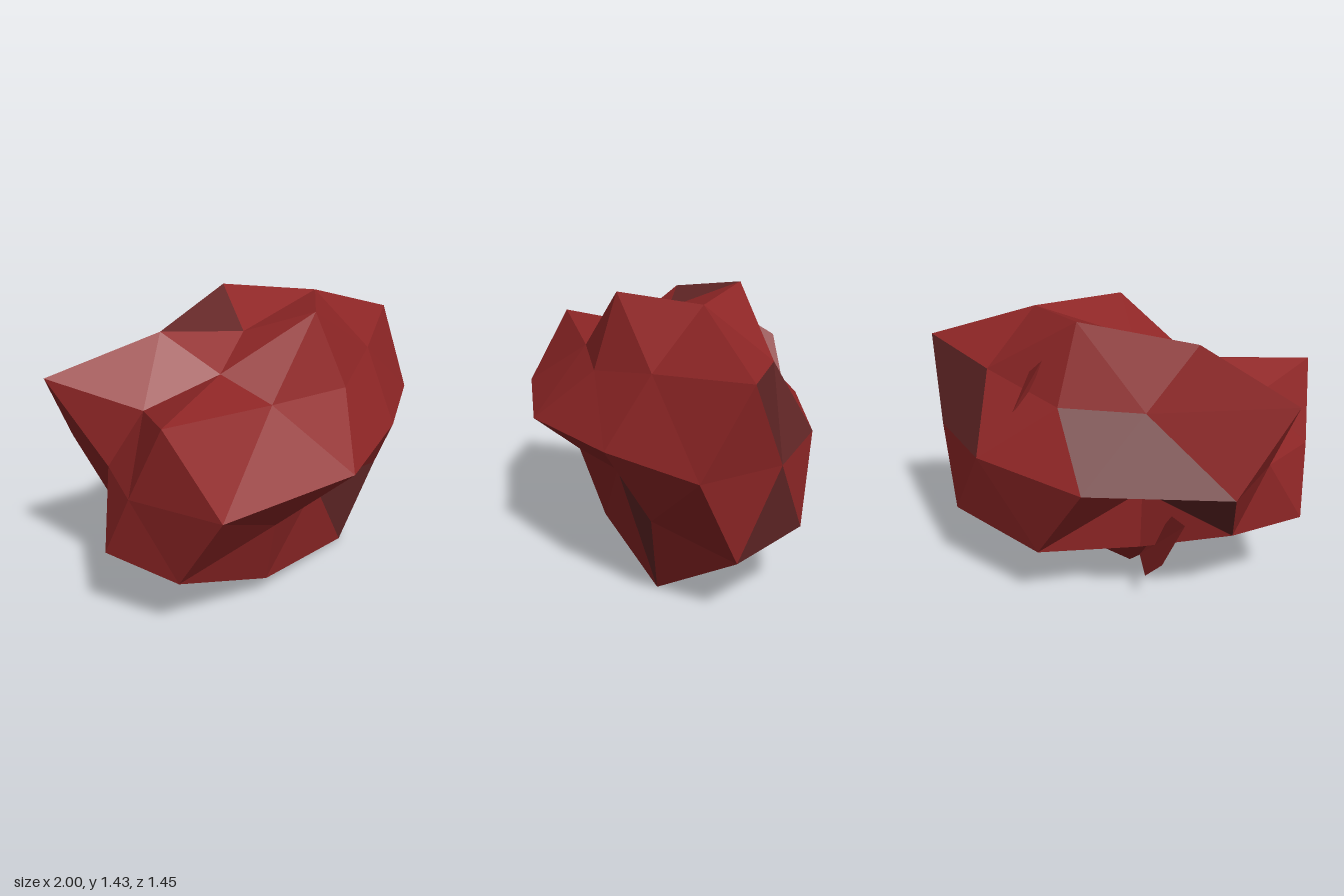
import * as THREE from 'three';
import { ConvexGeometry } from 'three/addons/geometries/ConvexGeometry.js';

const CENTRE = new THREE.Vector3(-0.12, 0.78, 0.01);
const SCALE = new THREE.Vector3(1, 0.75, 0.62);

// Rings of a once-divided icosahedron: height, first angle, distance of each point
const RINGS = [
  [1, 0, [0.69]],
  [0.8507, 0, [0.98, 1.01, 0.625, 0.88, 1.035]],
  [0.4472, 0, [1.25, 0.855, 1.125, 1.205, 0.82]],
  [0.5257, 36, [0.9, 0.78, 0.733, 0.65, 0.945]],
  [0, 18, [1.125, 0.99, 1.155, 1.22, 0.905, 0.77, 1.11, 1.19, 1.05, 1.03]],
  [-0.5257, 0, [1.14, 0.665, 1.063, 0.87, 1.125]],
  [-0.4472, 36, [0.955, 0.835, 0.99, 0.52, 1.15]],
  [-0.8507, 36, [1.207, 1.04, 0.75, 0.8, 0.84]],
  [-1, 0, [1.015]],
];

// Facets in the browner stone, as sorted point numbers
const BROWN = new Set([
  '27,31,36', '25,26,35', '15,24,25', '6,15,25', '0,4,5', '10,14,23',
  '14,22,23', '30,35,40', '26,35,40', '26,36,40', '22,29,34',
]);

function geometryFrom(points) {
  const g = new THREE.BufferGeometry().setFromPoints(points);
  g.computeVertexNormals();
  return g;
}

// Flat shard from a convex outline
function shard(name, corners, material) {
  const p = corners.map((c) => new THREE.Vector3(...c));
  const tris = [];
  for (let i = 1; i < p.length - 1; i++) tris.push(p[0], p[i], p[i + 1]);
  const mesh = new THREE.Mesh(geometryFrom(tris), material);
  mesh.name = name;
  return mesh;
}

export function createModel() {
  const group = new THREE.Group();
  group.name = 'rock';
  const red = new THREE.MeshStandardMaterial({ color: 0x8f2626, flatShading: true, side: THREE.DoubleSide });
  red.name = 'redStone';
  const brown = new THREE.MeshStandardMaterial({ color: 0x642727, flatShading: true, side: THREE.DoubleSide });
  brown.name = 'brownStone';

  // Directions and displaced points
  const dirs = [];
  const points = [];
  for (const [y, start, radii] of RINGS) {
    const h = Math.sqrt(1 - y * y);
    radii.forEach((r, i) => {
      const a = THREE.MathUtils.degToRad(start + (i * 360) / radii.length);
      const d = new THREE.Vector3(h * Math.cos(a), y, h * Math.sin(a));
      dirs.push(d);
      points.push(d.clone().multiplyScalar(r).multiply(SCALE).add(CENTRE));
    });
  }

  // Facets of the even ball, moved to the displaced points and sorted by colour
  const pos = new ConvexGeometry(dirs).getAttribute('position');
  const facets = { red: [], brown: [] };
  const v = new THREE.Vector3();
  for (let i = 0; i < pos.count; i += 3) {
    const ids = [0, 1, 2].map((k) => {
      v.fromBufferAttribute(pos, i + k);
      return dirs.findIndex((d) => d.distanceTo(v) < 0.01);
    });
    const key = [...ids].sort((a, b) => a - b).join(',');
    facets[BROWN.has(key) ? 'brown' : 'red'].push(...ids.map((id) => points[id]));
  }
  const body = new THREE.Mesh(geometryFrom(facets.red), red);
  body.name = 'rockBody';
  const patches = new THREE.Mesh(geometryFrom(facets.brown), brown);
  patches.name = 'brownFacets';
  group.add(body, patches);

  // Thin shards breaking through the back
  group.add(
    shard('upperShard', [[0.21, 1.25, -0.345], [0.25, 1.21, -0.405], [0.34, 1.0, -0.42], [0.28, 1.06, -0.36]], red),
    shard('lowerShard', [[-0.52, 0.54, -0.42], [-0.41, 0.29, -0.4], [-0.3, 0.15, -0.31], [-0.22, 0.16, -0.14], [-0.42, 0.5, -0.28]], red),
  );
  return group;
}
